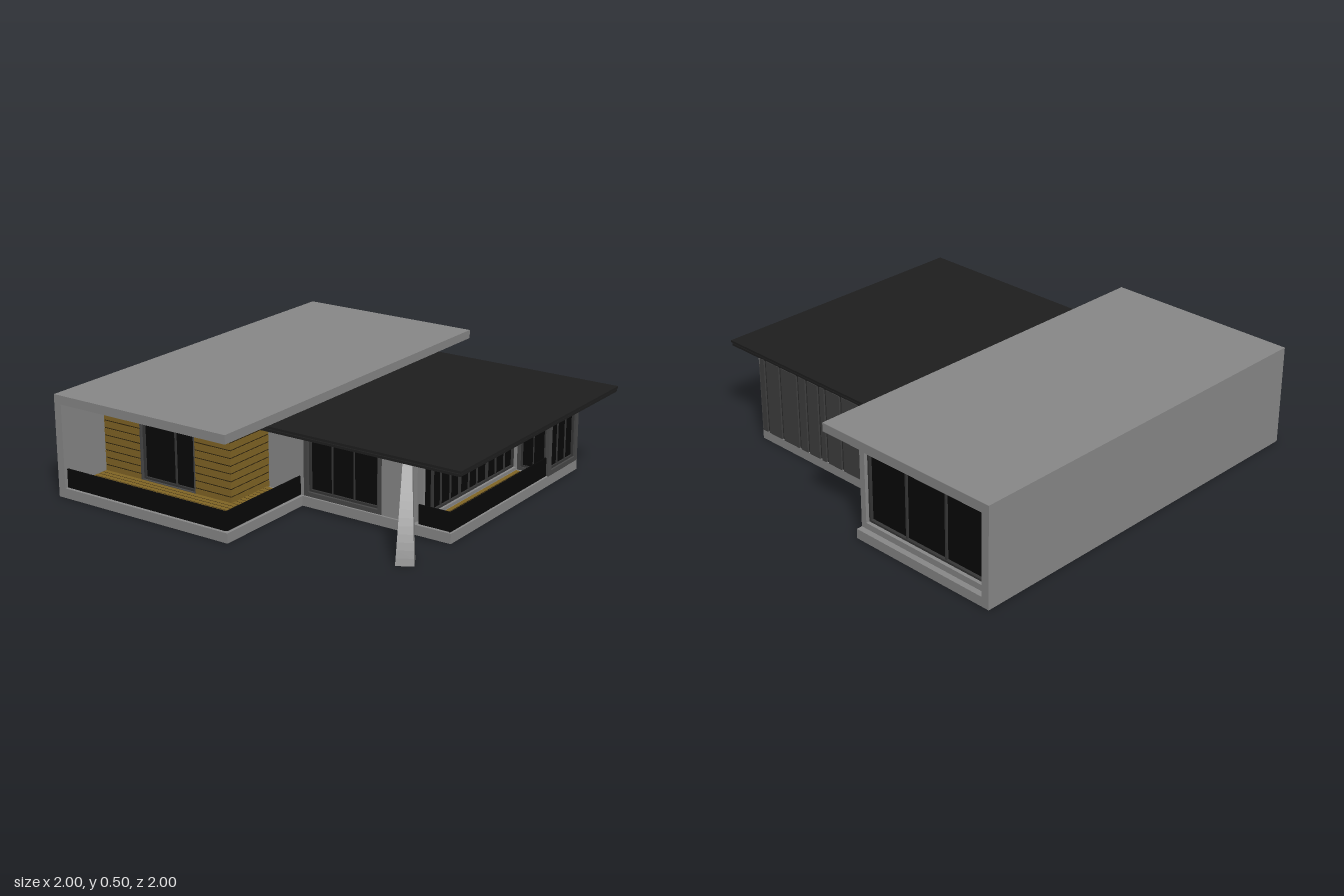
import * as THREE from 'three';

const mat = (color) => new THREE.MeshStandardMaterial({ color });
const GREY = mat(0x888888), DARK = mat(0x1e1e1e), CLAD = mat(0x404040), GROOVE = mat(0x2c2c2c),
  FRAME = mat(0x484848), SASH = mat(0x363636), GLASS = mat(0x080808), WOOD = mat(0x816525), SEAM = mat(0x30250e);

// Box given by its min and max corners
function box(parent, name, m, x0, x1, y0, y1, z0, z1) {
  const mesh = new THREE.Mesh(new THREE.BoxGeometry(x1 - x0, y1 - y0, z1 - z0), m);
  mesh.position.set((x0 + x1) / 2, (y0 + y1) / 2, (z0 + z1) / 2);
  mesh.name = name;
  parent.add(mesh);
}

function group(parent, name) {
  const g = new THREE.Group();
  g.name = name;
  parent.add(g);
  return g;
}

// Rectangular ring, extruded towards +z
function ring(parent, name, m, w, h, t, depth) {
  const rect = (P, a, b) => new P([[-a, -b], [a, -b], [a, b], [-a, b]].map((p) => new THREE.Vector2(...p)));
  const s = rect(THREE.Shape, w / 2, h / 2);
  s.holes.push(rect(THREE.Path, w / 2 - t, h / 2 - t));
  const mesh = new THREE.Mesh(new THREE.ExtrudeGeometry(s, { depth, bevelEnabled: false }), m);
  mesh.name = name;
  parent.add(mesh);
}

// Glazed opening facing +z: surround, dark sash, glass and mullions at fractions of the width
function windowUnit(parent, name, w, h, { surround = 0.018, depth = 0.03, splits = [], m = FRAME }) {
  const g = group(parent, name);
  ring(g, 'surround', m, w, h, surround, depth);
  const iw = w - 2 * surround, ih = h - 2 * surround;
  ring(g, 'sash', SASH, iw, ih, 0.01, depth * 0.6);
  box(g, 'glass', GLASS, -iw / 2, iw / 2, -ih / 2, ih / 2, 0, depth * 0.25);
  for (const [f, t] of splits) {
    const x = (f - 0.5) * iw;
    box(g, 'mullion', SASH, x - t / 2, x + t / 2, -ih / 2, ih / 2, 0, depth * 0.5);
  }
  return g;
}

// Row of boards filling a box along one axis, over a slightly recessed dark backing
function boards(parent, name, axis, n, lo, hi, gap = 0.005) {
  const g = group(parent, name);
  const step = (hi[axis] - lo[axis]) / n, inset = 0.001;
  const fill = (part, m, a, b) => box(g, part, m, a[0], b[0], a[1], b[1], a[2], b[2]);
  fill('backing', SEAM, lo.map((v) => v + inset), hi.map((v) => v - inset));
  for (let i = 0; i < n; i++) {
    const a = [...lo], b = [...hi];
    a[axis] = lo[axis] + i * step;
    b[axis] = a[axis] + step - gap;
    fill('board', WOOD, a, b);
  }
}

// Low glass railing between two points on the floor
function railing(parent, name, x0, z0, x1, z1, n) {
  const g = group(parent, name);
  const step = Math.hypot(x1 - x0, z1 - z0) / n;
  for (let i = 0; i < n; i++) {
    box(g, 'railingPanel', GLASS, i * step + 0.002, (i + 1) * step - 0.002, 0.045, 0.14, -0.004, 0.004);
  }
  g.position.set(x0, 0, z0);
  g.rotation.y = Math.atan2(-(z1 - z0), x1 - x0);
}

// Square support that leans, curves and tapers along a path
function curvedSupport(parent) {
  const path = new THREE.QuadraticBezierCurve3(
    new THREE.Vector3(0.748, 0, 0.73), new THREE.Vector3(0.724, 0.22, 0.687), new THREE.Vector3(0.624, 0.436, 0.527));
  const out = new THREE.Vector3(0.5, 0, 0.866), side = new THREE.Vector3(0.866, 0, -0.5);
  const N = 14, corners = [[1, 1], [1, -1], [-1, -1], [-1, 1]], pos = [];
  const at = (i, k) => {
    const t = i / N, r = 0.041 - 0.023 * t, [a, b] = corners[k % 4];
    return path.getPoint(t).addScaledVector(out, a * r).addScaledVector(side, b * r);
  };
  const tri = (...p) => p.forEach((v) => pos.push(v.x, v.y, v.z));
  for (let i = 0; i < N; i++) {
    for (let k = 0; k < 4; k++) {
      const a = at(i, k), b = at(i, k + 1), c = at(i + 1, k + 1), d = at(i + 1, k);
      tri(a, c, b, a, d, c);
    }
  }
  tri(at(0, 0), at(0, 1), at(0, 2), at(0, 0), at(0, 2), at(0, 3));
  const geo = new THREE.BufferGeometry();
  geo.setAttribute('position', new THREE.Float32BufferAttribute(pos, 3));
  geo.computeVertexNormals();
  const m = GREY.clone();
  m.side = THREE.DoubleSide;
  const mesh = new THREE.Mesh(geo, m);
  mesh.name = 'curvedSupport';
  parent.add(mesh);
}

export function createModel() {
  const house = new THREE.Group();
  house.name = 'house';

  // Floor slab, one stepped outline (shape y is -z)
  const outline = [[-1, -1], [0, -1], [0, -0.45], [0.8, -0.45], [0.8, 0.7], [-0.2, 0.7], [-0.2, 1], [-1, 1]];
  const floorGeo = new THREE.ExtrudeGeometry(
    new THREE.Shape(outline.map((p) => new THREE.Vector2(...p))), { depth: 0.048, bevelEnabled: false });
  floorGeo.rotateX(-Math.PI / 2);
  const floor = new THREE.Mesh(floorGeo, GREY);
  floor.name = 'floorSlab';
  house.add(floor);

  // Main block: side wall, roof and room
  box(house, 'sideWall', GREY, -1, -0.96, 0.048, 0.457, -1, 1);
  box(house, 'mainRoof', GREY, -1, 0, 0.457, 0.5, -1, 1);
  box(house, 'mainRoomCore', GREY, -0.96, -0.21, 0.048, 0.457, -0.93, 0.69);

  // Wing: room, front wall around its window, back bay
  box(house, 'wingRoom', GREY, -0.21, 0.6, 0.048, 0.432, -0.685, 0.41);
  box(house, 'wingLink', GREY, -0.205, 0, 0.048, 0.457, -0.685, 0.44);
  box(house, 'wingPier', GREY, 0.43, 0.6, 0.048, 0.432, 0.41, 0.44);
  box(house, 'wingHeader', GREY, 0, 0.43, 0.397, 0.432, 0.41, 0.44);
  box(house, 'backBay', GREY, 0.6, 0.775, 0.048, 0.432, -0.685, -0.425);
  box(house, 'bayHeader', GREY, 0.775, 0.8, 0.397, 0.432, -0.7, -0.42);

  // Timber cladding around the front room
  boards(house, 'frontCladdingRight', 1, 11, [-0.96, 0.048, 0.69], [-0.74, 0.457, 0.72]);
  boards(house, 'frontCladdingLeft', 1, 11, [-0.41, 0.048, 0.69], [-0.2, 0.457, 0.72]);
  boards(house, 'frontCladdingTop', 1, 1, [-0.74, 0.425, 0.69], [-0.41, 0.457, 0.72]);
  boards(house, 'sideCladding', 1, 11, [-0.22, 0.048, 0.44], [-0.2, 0.457, 0.69]);

  // Dark vertical cladding at the back, with uneven ribs
  const back = group(house, 'backCladding');
  box(back, 'backPanel', GROOVE, -0.2, 0.775, 0.048, 0.432, -0.695, -0.685);
  box(back, 'sidePanel', GROOVE, -0.21, -0.203, 0.048, 0.457, -0.93, -0.685);
  const widths = [0.09, 0.03, 0.07, 0.045, 0.11];
  for (let i = 0, x = -0.195; x < 0.79; i++) {
    const w = widths[i % 5];
    box(back, 'rib', CLAD, x, Math.min(x + w, 0.797), 0.048, 0.432, -0.703, -0.685);
    x += w + 0.016;
  }
  for (let i = 0, z = -0.93; z < -0.72; i++) {
    const w = widths[(i + 2) % 5];
    box(back, 'rib', CLAD, -0.206, -0.196, 0.048, 0.457, z, Math.min(z + w, -0.703));
    z += w + 0.012;
  }

  // Windows
  const thin = 0.005, thick = 0.016;
  windowUnit(house, 'frontRoomWindow', 0.33, 0.377, { surround: 0.008, splits: [[0.62, 0.008]] })
    .position.set(-0.575, 0.237, 0.69);
  windowUnit(house, 'wingFrontWindow', 0.43, 0.35, { surround: 0.022, splits: [[0.33, thin], [0.64, thin]] })
    .position.set(0.215, 0.222, 0.41);
  windowUnit(house, 'bayFrontWindow', 0.17, 0.35, { depth: 0.01, splits: [[0.5, thin]] })
    .position.set(0.715, 0.222, -0.425);
  const bay = windowUnit(house, 'baySideWindow', 0.28, 0.35,
    { surround: 0.024, depth: 0.025, m: FRAME, splits: [[0.34, thin], [0.67, thin]] });
  bay.position.set(0.775, 0.222, -0.56);
  bay.rotation.y = Math.PI / 2;
  const terraceSplits = [[0.11, thick], [0.4, thick], [0.7, thick], [0.2, thin], [0.3, thin],
    [0.5, thin], [0.59, thin], [0.8, thin], [0.9, thin]];
  const wide = windowUnit(house, 'terraceWindow', 0.83, 0.35, { surround: 0.016, m: GREY, splits: terraceSplits });
  wide.position.set(0.6, 0.222, -0.005);
  wide.rotation.y = Math.PI / 2;
  const rear = windowUnit(house, 'rearWindow', 0.76, 0.409,
    { surround: 0.03, depth: 0.045, m: GREY, splits: [[0.33, 0.008], [0.67, 0.008]] });
  rear.position.set(-0.58, 0.2525, -0.925);
  rear.rotation.y = Math.PI;

  // Timber decks
  boards(house, 'frontDeck', 2, 9, [-0.96, 0.046, 0.72], [-0.03, 0.054, 0.97]);
  boards(house, 'sideDeck', 2, 9, [-0.2, 0.046, 0.46], [-0.03, 0.054, 0.72]);
  boards(house, 'terraceDeck', 0, 5, [0.64, 0.046, -0.39], [0.77, 0.054, 0.42]);

  // Railings
  railing(house, 'frontRailing', -0.96, 0.98, -0.02, 0.98, 7);
  railing(house, 'sideRailing', -0.02, 0.98, -0.02, 0.44, 4);
  railing(house, 'terraceFrontRailing', 0.62, 0.43, 0.785, 0.43, 1);
  railing(house, 'terraceSideRailing', 0.785, 0.44, 0.785, -0.415, 5);

  // Canopy roof: two dark layers with a recessed core and a timber soffit
  const canopy = group(house, 'canopy');
  box(canopy, 'canopyTop', DARK, -0.2, 1, 0.446, 0.4565, -0.703, 0.703);
  box(canopy, 'canopyCore', DARK, -0.2, 0.985, 0.438, 0.447, -0.69, 0.69);
  box(canopy, 'canopyBottom', DARK, -0.2, 0.995, 0.43, 0.441, -0.7, 0.7);
  boards(canopy, 'soffit', 0, 30, [-0.19, 0.4285, -0.69], [0.99, 0.432, 0.69], 0.004);

  curvedSupport(house);
  return house;
}
